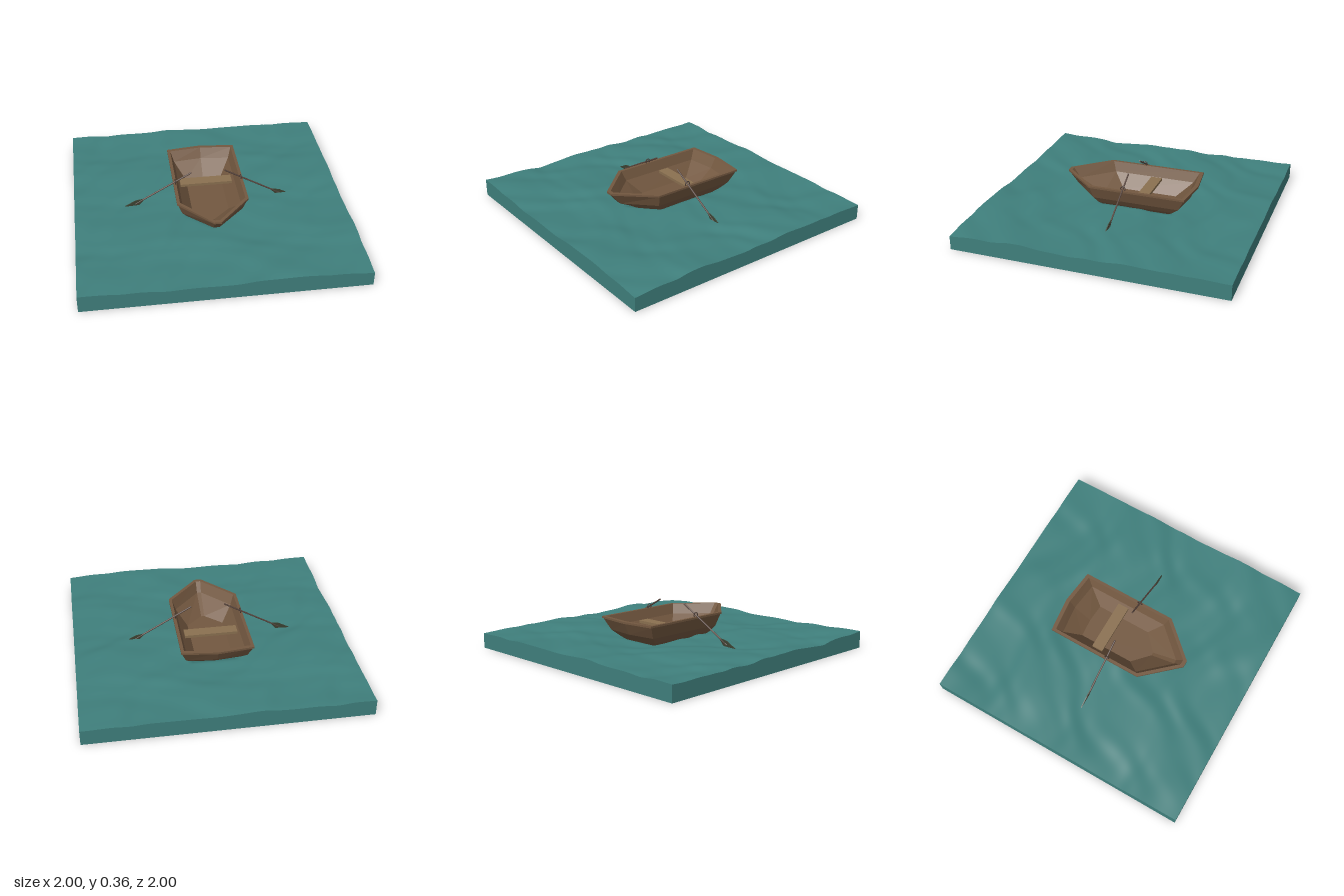
import * as THREE from 'three';

const mat = (color, extra = {}) => new THREE.MeshStandardMaterial({ color, ...extra });

function add(parent, name, geometry, material) {
  const mesh = new THREE.Mesh(geometry, material);
  mesh.name = name;
  parent.add(mesh);
  return mesh;
}

// Choppy surface height, dipping to follow the hull underneath the boat
function waterHeight(x, z) {
  const u = x + 0.08 * Math.sin(5 * z + 1) + 0.03 * Math.sin(13 * x + 4);
  const v = z + 0.08 * Math.sin(4 * x + 2) + 0.03 * Math.sin(11 * z);
  const wave = 0.115
    + 0.007 * Math.sin(4.5 * u + 6 * v + 0.6)
    + 0.005 * Math.sin(9 * v - 5 * u + 2)
    + 0.0035 * Math.sin(14 * u + 17 * v)
    + 0.0025 * Math.sin(27 * v + 8 * u + 1) * Math.sin(15 * u - 4 * v);
  const ax = Math.abs(x);
  const beyondHull = Math.max(0, ax - 0.15, 0.5 * (-z - 0.3), 0.6 * (0.68 * ax + 0.735 * z - 0.212));
  return Math.min(wave, 0.076 + beyondHull);
}

function waterGeometry() {
  const geo = new THREE.BoxGeometry(2, 0.1, 2, 100, 1, 100);
  geo.translate(0, 0.05, 0);
  const p = geo.attributes.position;
  for (let i = 0; i < p.count; i++) {
    if (p.getY(i) > 0.05) p.setY(i, waterHeight(p.getX(i), p.getZ(i)));
  }
  geo.computeVertexNormals();
  return geo;
}

// One hull outline: pointed bow, straight sides, slightly bent transom
function hullRing([y, w, shoulderZ, bowZ, bowW, cornerZ, sternZ]) {
  return [[bowW, y, bowZ], [w, y, shoulderZ], [w, y, cornerZ], [0, y, sternZ],
    [-w, y, cornerZ], [-w, y, shoulderZ], [-bowW, y, bowZ]];
}

function hullGeometry() {
  const rings = [
    // outside, keel to gunwale
    [0.085, 0.15, 0.16, 0.29, 0.02, -0.31, -0.325],
    [0.125, 0.19, 0.215, 0.35, 0.022, -0.36, -0.375],
    [0.17, 0.222, 0.24, 0.44, 0.022, -0.41, -0.435],
    [0.257, 0.254, 0.257, 0.512, 0.024, -0.455, -0.48],
    [0.259, 0.26, 0.262, 0.52, 0.025, -0.465, -0.495],
    [0.273, 0.26, 0.262, 0.52, 0.025, -0.465, -0.495],
    // inside, gunwale to floor
    [0.273, 0.238, 0.25, 0.492, 0.018, -0.44, -0.465],
    [0.2, 0.213, 0.225, 0.44, 0.016, -0.4, -0.425],
    [0.1, 0.135, 0.135, 0.25, 0.012, -0.285, -0.295],
  ].map(hullRing);
  const pos = [];
  const tri = (...pts) => pts.forEach((q) => pos.push(...q));
  const n = rings[0].length;
  for (let i = 0; i < rings.length - 1; i++) {
    for (let j = 0; j < n; j++) {
      const k = (j + 1) % n;
      const [a, b, c, d] = [rings[i][j], rings[i][k], rings[i + 1][k], rings[i + 1][j]];
      tri(a, b, c);
      tri(a, c, d);
    }
  }
  const keel = rings[0], floor = rings[rings.length - 1];
  for (let j = 1; j < n - 1; j++) {
    tri(keel[0], keel[j + 1], keel[j]);
    tri(floor[0], floor[j], floor[j + 1]);
  }
  const geo = new THREE.BufferGeometry();
  geo.setAttribute('position', new THREE.Float32BufferAttribute(pos, 3));
  geo.computeVertexNormals();
  return geo;
}

// Oar lying along +x from its grip, with an upright leaf-shaped blade
function makeOar(wood, bladeMat) {
  const oar = new THREE.Group();
  oar.name = 'oar';
  const shaft = new THREE.CylinderGeometry(0.006, 0.006, 0.49, 8);
  shaft.rotateZ(Math.PI / 2).translate(0.245, 0, 0);
  add(oar, 'oarShaft', shaft, wood);
  const leaf = new THREE.Shape();
  leaf.moveTo(0.42, -0.006);
  leaf.lineTo(0.47, -0.024);
  leaf.lineTo(0.565, -0.027);
  leaf.lineTo(0.575, 0);
  leaf.lineTo(0.565, 0.027);
  leaf.lineTo(0.47, 0.024);
  leaf.lineTo(0.42, 0.006);
  const blade = new THREE.ExtrudeGeometry(leaf, { depth: 0.007, bevelEnabled: false });
  blade.translate(0, 0, -0.0035);
  add(oar, 'oarBlade', blade, bladeMat);
  return oar;
}

export function createModel() {
  const model = new THREE.Group();
  model.name = 'rowingBoatOnWater';

  add(model, 'water', waterGeometry(), mat(0x3f7f7c));

  const boat = new THREE.Group();
  boat.name = 'boat';
  model.add(boat);
  add(boat, 'hull', hullGeometry(), mat(0x735840, { flatShading: true }));

  const seat = add(boat, 'seat', new THREE.BoxGeometry(0.39, 0.02, 0.085), mat(0x8a7050));
  seat.position.set(-0.003, 0.195, -0.112);

  // Oars and oarlocks on both sides
  const wood = mat(0x57443c);
  const bladeMat = mat(0x3c4232);
  const metal = mat(0x4a3c36);
  for (const side of [1, -1]) {
    const sideGroup = new THREE.Group();
    sideGroup.name = side > 0 ? 'leftOarSet' : 'rightOarSet';
    if (side < 0) sideGroup.rotation.y = Math.PI;
    boat.add(sideGroup);

    const oar = makeOar(wood, bladeMat);
    oar.position.set(0.125, 0.355, 0);
    oar.rotation.z = -0.52;
    sideGroup.add(oar);

    const ring = add(sideGroup, 'oarlockRing', new THREE.TorusGeometry(0.018, 0.0035, 6, 16), metal);
    ring.position.set(0.245, 0.286, 0);
    ring.rotation.y = Math.PI / 2;
    const pin = add(sideGroup, 'oarlockPin', new THREE.CylinderGeometry(0.004, 0.004, 0.03, 8), metal);
    pin.position.set(0.245, 0.257, 0);
  }
  return model;
}
